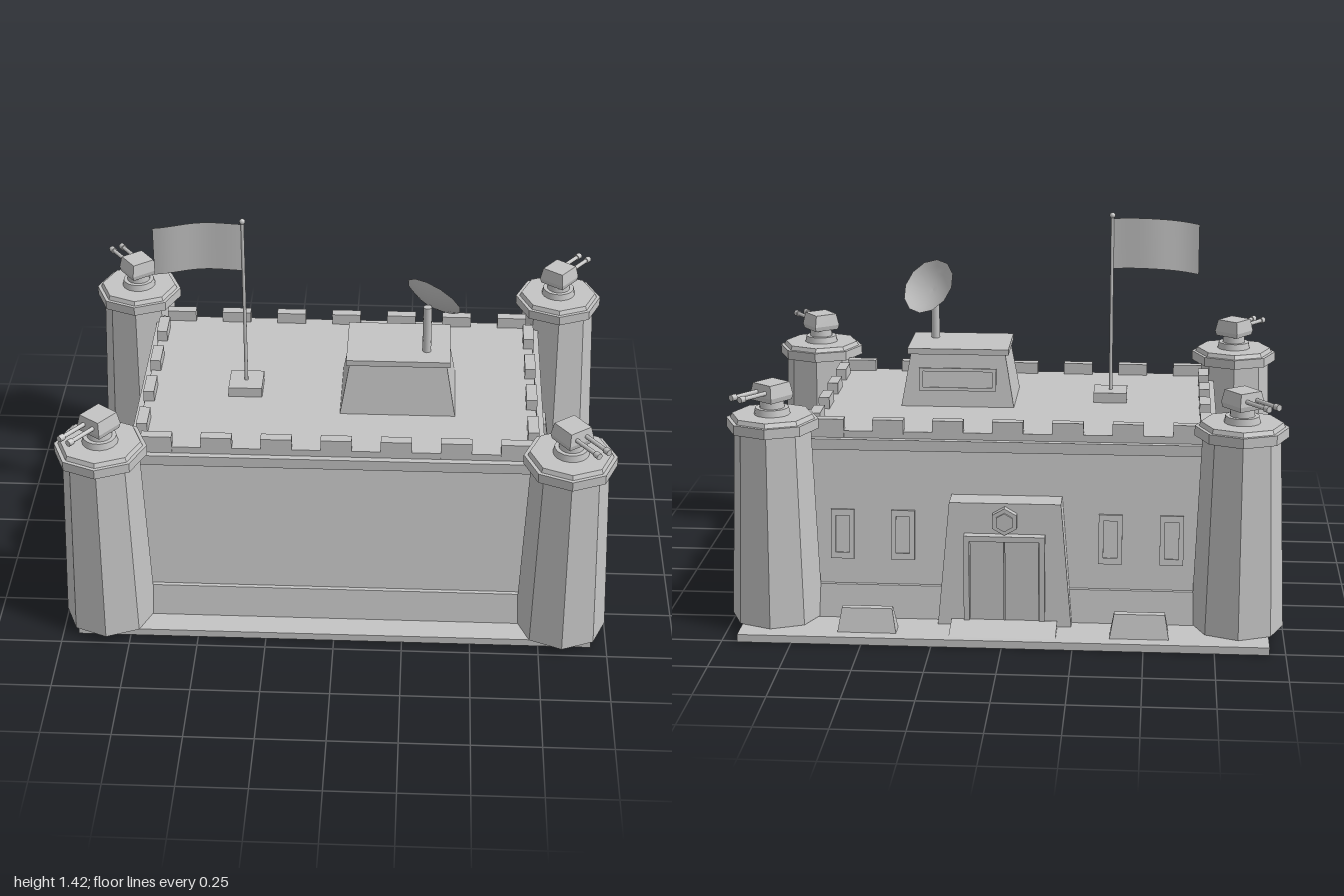
import * as THREE from 'three';

const stone = new THREE.MeshStandardMaterial({ color: 0xc4c4c4 });
stone.name = 'stone grey';
const cloth = new THREE.MeshStandardMaterial({ color: 0xc4c4c4, side: THREE.DoubleSide });
cloth.name = 'thin sheet grey';

const CZ = 0.024; // middle of the walls in z

function add(parent, name, geo, x = 0, y = 0, z = 0, mat = stone) {
  const m = new THREE.Mesh(geo, mat);
  m.name = name;
  m.position.set(x, y, z);
  parent.add(m);
  return m;
}
const box = (w, h, d) => new THREE.BoxGeometry(w, h, d);

// Flat-shaded round part with a few sides
function drum(rTop, rBottom, h, sides) {
  const g = new THREE.CylinderGeometry(rTop, rBottom, h, sides).toNonIndexed();
  g.computeVertexNormals();
  return g;
}

// Box whose top is scaled to w1 x d1, standing on y = 0; shift moves the top in z
function taper(w0, d0, w1, d1, h, shift = 0) {
  const g = box(1, h, 1);
  g.translate(0, h / 2, 0);
  const p = g.attributes.position;
  for (let i = 0; i < p.count; i++) {
    const top = p.getY(i) > h / 2;
    p.setX(i, p.getX(i) * (top ? w1 : w0));
    p.setZ(i, p.getZ(i) * (top ? d1 : d0) + (top ? shift : 0));
  }
  g.computeVertexNormals();
  return g;
}

// Rectangular frame with an opening, facing +z
function frameGeo(w, h, iw, ih, depth) {
  const rect = (C, a, b) => {
    const s = new C();
    s.moveTo(-a / 2, -b / 2);
    s.lineTo(a / 2, -b / 2);
    s.lineTo(a / 2, b / 2);
    s.lineTo(-a / 2, b / 2);
    s.closePath();
    return s;
  };
  const shape = rect(THREE.Shape, w, h);
  shape.holes.push(rect(THREE.Path, iw, ih));
  return new THREE.ExtrudeGeometry(shape, { depth, bevelEnabled: false });
}

// Framed slit window leaning with the wall
function wallWindow(root, x, z, yaw) {
  const g = new THREE.Group();
  g.name = 'window';
  g.rotation.order = 'YXZ';
  g.rotation.set(-0.135, yaw, 0);
  g.position.set(x, 0.328, z);
  add(g, 'windowFrame', frameGeo(0.085, 0.18, 0.05, 0.135, 0.03), 0, 0, -0.015);
  add(g, 'windowPane', box(0.05, 0.135, 0.008), 0, 0, 0.003);
  root.add(g);
}

// Corner tower with a twin-barrel turret
function tower(sx, z, sz) {
  const g = new THREE.Group();
  g.name = 'cornerTower';
  g.position.set(sx * 0.834, 0, z);
  add(g, 'towerShaft', drum(0.138, 0.165, 0.71, 8), 0, 0.385, 0);
  add(g, 'towerCollar', drum(0.166, 0.166, 0.036, 8), 0, 0.752, 0);
  add(g, 'towerCap', drum(0.145, 0.152, 0.016, 8), 0, 0.778, 0);

  const t = new THREE.Group();
  t.name = 'turret';
  t.rotation.y = Math.atan2(sx * 0.6, sz * 0.8);
  add(t, 'turretRing', new THREE.CylinderGeometry(0.06, 0.065, 0.024, 16), 0, 0.798, 0);
  add(t, 'turretNeck', new THREE.CylinderGeometry(0.042, 0.045, 0.03, 16), 0, 0.822, 0);
  add(t, 'turretBody', taper(0.1, 0.1, 0.108, 0.108, 0.018), 0, 0.837, 0);
  add(t, 'turretRoof', taper(0.108, 0.108, 0.09, 0.094, 0.046), 0, 0.855, 0);
  for (const s of [-1, 1]) {
    const barrel = new THREE.CylinderGeometry(0.008, 0.008, 0.13, 10);
    add(t, 'gunBarrel', barrel.rotateX(Math.PI / 2), s * 0.022, 0.872, 0.105);
    const muzzle = new THREE.CylinderGeometry(0.012, 0.012, 0.022, 10);
    add(t, 'gunMuzzle', muzzle.rotateX(Math.PI / 2), s * 0.022, 0.872, 0.162);
  }
  g.add(t);
  return g;
}

export function createModel() {
  const root = new THREE.Group();
  root.name = 'fortress';

  // Ground slab and the stacked, inward-leaning walls
  add(root, 'groundSlab', box(1.886, 0.028, 1.46), 0, 0.014, -0.03);
  add(root, 'plinth', taper(1.69, 1.165, 1.65, 1.125, 0.12), 0, 0.028, CZ);
  add(root, 'walls', taper(1.62, 1.095, 1.49, 0.955, 0.49), 0, 0.145, CZ);
  add(root, 'cornice', box(1.51, 0.04, 0.97), 0, 0.652, CZ);
  add(root, 'roof', box(1.455, 0.028, 0.925), 0, 0.684, CZ);

  // Battlements
  for (const s of [-1, 1]) {
    for (let i = -3; i <= 3; i++)
      add(root, 'merlon', box(0.112, 0.066, 0.038), i * 0.2165, 0.708, CZ + s * 0.446);
    for (let i = 0; i < 4; i++)
      add(root, 'merlon', box(0.04, 0.066, 0.112), s * 0.711, 0.708, -0.303 + i * 0.217);
  }

  // Towers and windows
  for (const s of [-1, 1]) {
    root.add(tower(s, 0.588, 1), tower(s, -0.538, -1));
    for (const z of [0.245, -0.19]) wallWindow(root, s * 0.787, z, s * Math.PI / 2);
    for (const x of [0.375, 0.595]) wallWindow(root, s * x, -0.496, Math.PI);
    // Barriers beside the gate
    add(root, 'barrier', taper(0.21, 0.07, 0.18, 0.028, 0.085), s * 0.485, 0.028, -0.675);
  }

  // Gatehouse, double door, plaque and ramp
  add(root, 'gatehouse', taper(0.48, 0.17, 0.4, 0.13, 0.45, 0.01), 0, 0.028, -0.52);
  add(root, 'doorFrame', frameGeo(0.29, 0.34, 0.25, 0.3, 0.035), 0, 0.198, -0.62);
  for (const s of [-1, 1])
    add(root, 'doorLeaf', box(0.121, 0.3, 0.02), s * 0.0625, 0.198, -0.6);
  const plaque = drum(0.05, 0.05, 0.03, 6).rotateX(Math.PI / 2);
  add(root, 'plaque', plaque, 0, 0.418, -0.59);
  add(root, 'plaqueCentre', drum(0.034, 0.034, 0.01, 6).rotateX(Math.PI / 2), 0, 0.418, -0.608);
  add(root, 'ramp', taper(0.38, 0.15, 0.38, 0.012, 0.03, 0.069), 0, 0.022, -0.685);

  // Roof house with a window at the back
  add(root, 'roofHouse', taper(0.425, 0.32, 0.355, 0.26, 0.2), 0.215, 0.696, 0.081);
  add(root, 'roofHouseCap', box(0.38, 0.022, 0.275), 0.215, 0.904, 0.081);
  const slit = new THREE.Group();
  slit.name = 'roofHouseWindow';
  slit.position.set(0.215, 0.8, -0.065);
  slit.rotation.order = 'YXZ';
  slit.rotation.set(-0.15, Math.PI, 0);
  add(slit, 'slitFrame', frameGeo(0.29, 0.085, 0.26, 0.06, 0.02), 0, 0, -0.01);
  add(slit, 'slitPane', box(0.26, 0.06, 0.008));
  root.add(slit);

  // Dish antenna
  add(root, 'dishPost', new THREE.CylinderGeometry(0.016, 0.016, 0.19, 12), 0.318, 1.005, 0.135);
  const profile = [];
  for (let i = 0; i <= 5; i++) {
    const r = i / 5;
    profile.push(new THREE.Vector2(r * 0.112, -0.032 * (1 - r * r)));
  }
  const dish = add(root, 'dish', new THREE.LatheGeometry(profile, 12), 0.34, 1.122, 0.096, cloth);
  const aim = new THREE.Vector3(0.48, 0.57, -0.67).normalize();
  dish.quaternion.setFromUnitVectors(new THREE.Vector3(0, 1, 0), aim);

  // Flag on its pole
  const px = -0.355, pz = 0.079;
  add(root, 'flagBase', box(0.125, 0.04, 0.125), px, 0.716, pz);
  add(root, 'flagPole', new THREE.CylinderGeometry(0.006, 0.007, 0.7, 10), px, 1.05, pz);
  add(root, 'poleKnob', new THREE.SphereGeometry(0.011, 12, 8), px, 1.405, pz);
  const flag = new THREE.PlaneGeometry(0.325, 0.19, 20, 1);
  const p = flag.attributes.position;
  for (let i = 0; i < p.count; i++) {
    const t = 0.5 - p.getX(i) / 0.325;
    p.setZ(i, -0.012 * Math.sin(t * Math.PI * 2 - 0.6) * t);
    p.setY(i, p.getY(i) - 0.02 * t * t + 0.006 * Math.sin(t * Math.PI));
  }
  flag.computeVertexNormals();
  add(root, 'flag', flag, px - 0.1625, 1.298, pz, cloth);
  return root;
}
